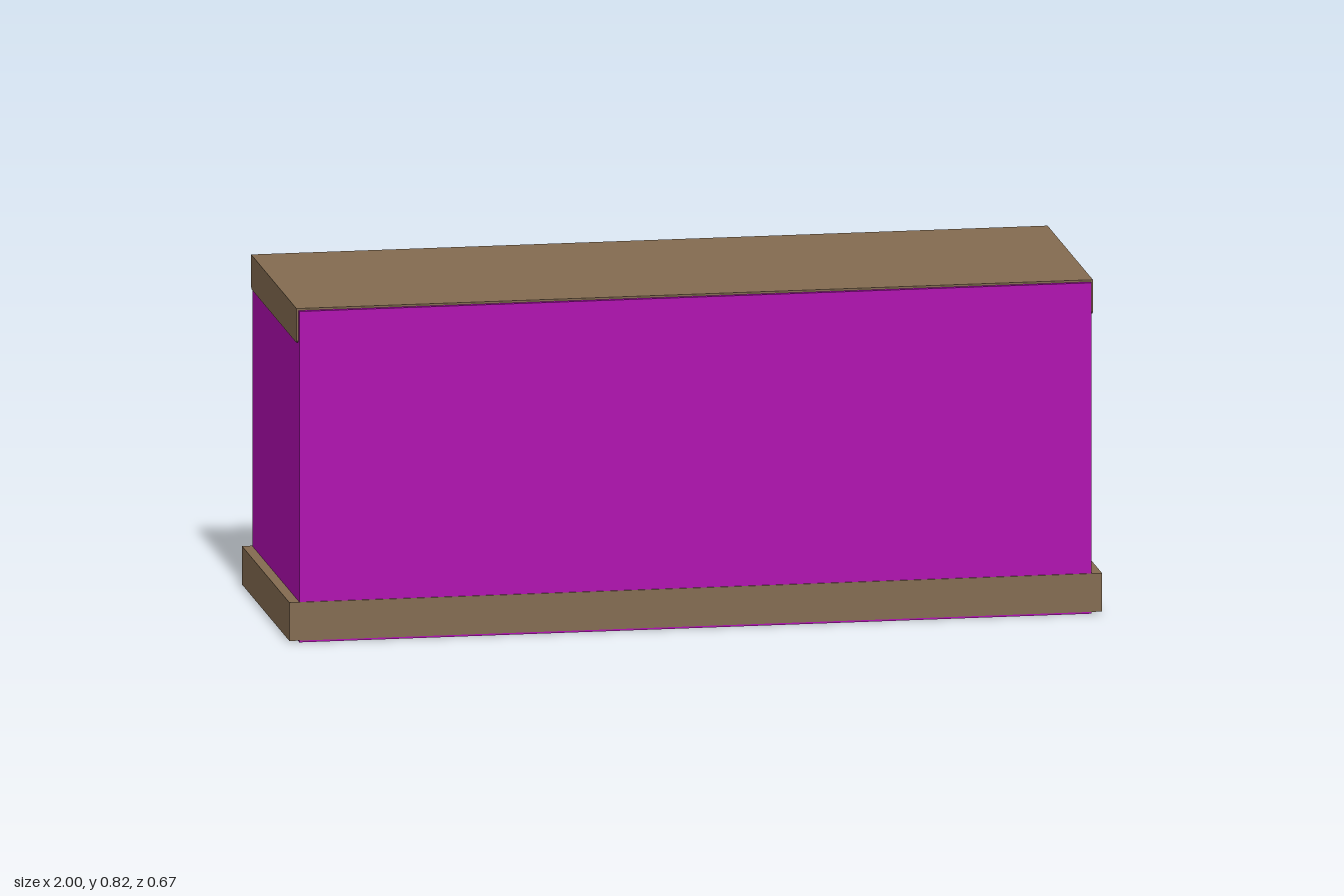
import * as THREE from 'three';

const wood = new THREE.MeshStandardMaterial({ color: 0x836b50 });
const paint = new THREE.MeshStandardMaterial({ color: 0xb00cb0 });

// Box given by its full width and depth and its bottom and top heights
function slab(name, material, width, depth, bottom, top) {
  const mesh = new THREE.Mesh(new THREE.BoxGeometry(width, top - bottom, depth), material);
  mesh.name = name;
  mesh.position.y = (bottom + top) / 2;
  return mesh;
}

export function createModel() {
  const group = new THREE.Group();
  group.name = 'chest';

  // Painted body, reaching just below the base trim
  group.add(slab('body', paint, 1.95, 0.664, 0, 0.82));

  // Wooden trim around the foot
  group.add(slab('baseTrim', wood, 2, 0.67, 0.005, 0.1));

  // Lid board with a slim chamfer along its lower long edges
  const profile = new THREE.Shape([
    [-0.315, 0.74], [0.315, 0.74], [0.32, 0.745],
    [0.32, 0.825], [-0.32, 0.825], [-0.32, 0.745],
  ].map(([z, y]) => new THREE.Vector2(z, y)));
  const board = new THREE.ExtrudeGeometry(profile, { depth: 1.96, bevelEnabled: false });
  board.translate(0, 0, -0.98).rotateY(Math.PI / 2);
  const lid = new THREE.Mesh(board, wood);
  lid.name = 'lid';
  group.add(lid);

  return group;
}
